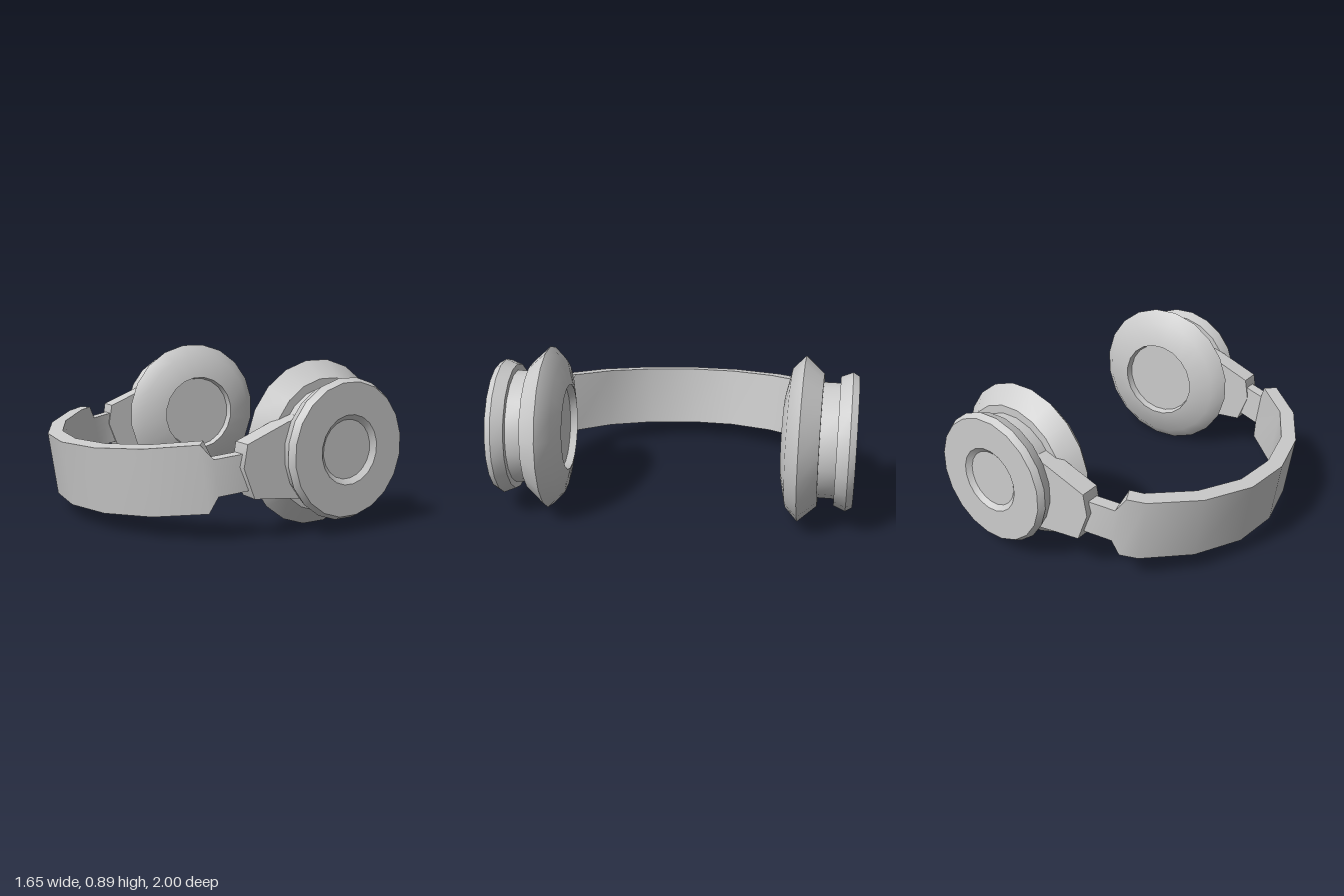
import * as THREE from 'three';
import { toCreasedNormals } from 'three/addons/utils/BufferGeometryUtils.js';

const material = new THREE.MeshStandardMaterial({ color: 0xcccccc });
const CREASE = 0.65;

function part(name, geometry) {
  const mesh = new THREE.Mesh(toCreasedNormals(geometry, CREASE), material);
  mesh.name = name;
  return mesh;
}

// 20-sided turned part along +z, from [radius, z] pairs (inner to outer end)
function turned(name, profile) {
  const points = profile.map(([r, z]) => new THREE.Vector2(r * 1.012, z));
  const geometry = new THREE.LatheGeometry(points, 20, Math.PI / 20);
  return part(name, geometry.rotateX(Math.PI / 2));
}

// Strip swept along stations [u, z, half height, thickness] of its outer face
function bandGeometry(stations) {
  const positions = [];
  const index = [];
  const last = stations.length - 1;
  stations.forEach(([u, z, h, t], i) => {
    const a = stations[Math.max(i - 1, 0)];
    const b = stations[Math.min(i + 1, last)];
    const length = Math.hypot(b[0] - a[0], b[1] - a[1]);
    const iu = u + (b[1] - a[1]) / length * t;
    const iz = z - (b[0] - a[0]) / length * t;
    positions.push(u, h, z, u, -h, z, iu, -h, iz, iu, h, iz);
    if (i === last) return;
    for (let k = 0; k < 4; k++) {
      const p = i * 4 + k;
      const q = i * 4 + (k + 1) % 4;
      index.push(p, q, p + 4, q, q + 4, p + 4);
    }
  });
  const e = last * 4;
  index.push(0, 2, 1, 0, 3, 2, e, e + 1, e + 2, e, e + 2, e + 3);
  const geometry = new THREE.BufferGeometry();
  geometry.setAttribute('position', new THREE.Float32BufferAttribute(positions, 3));
  geometry.setIndex(index);
  geometry.computeVertexNormals();
  return geometry;
}

export function createModel() {
  const model = new THREE.Group();
  model.name = 'headphones';

  // Headband: wide arc with narrow sliding ends, tipped about the cup axis
  const W = 0.18, N = 0.097, T = 0.085, S = 0.07;
  const headband = part('headband', bandGeometry([
    [-0.43, -0.87, N, S], [-0.565, -0.868, N, S], [-0.705, -0.835, N, S],
    [-0.75, -0.815, W, T], [-0.842, -0.77, W, T], [-1.044, -0.54, W, T],
    [-1.171, -0.26, W, T], [-1.196, 0.03, W, T], [-1.13, 0.33, W, T],
    [-0.979, 0.6, W, T], [-0.756, 0.8, W, T],
    [-0.705, 0.828, N, S], [-0.565, 0.865, N, S], [-0.43, 0.87, N, S],
  ]));
  headband.position.set(0.385, 0.445, 0);
  headband.rotation.z = 0.15;
  model.add(headband);

  // Bracket outline joining the band to a cup
  const bracketShape = new THREE.Shape([
    [-0.175, 0.51], [-0.195, 0.39], [-0.13, 0.228], [0.0, 0.217],
    [0.17, 0.2], [0.17, 0.64], [0.06, 0.605],
  ].map(([x, y]) => new THREE.Vector2(x, y)));

  for (const side of [1, -1]) {
    const label = side > 0 ? 'front' : 'back';

    const bracket = part(label + 'Bracket',
      new THREE.ExtrudeGeometry(bracketShape, { depth: 0.115, bevelEnabled: false }));
    bracket.position.z = side > 0 ? 0.785 : -0.9;
    model.add(bracket);

    // Ear cup: dished cushion, neck and outer cap with a recessed disc
    const cup = new THREE.Group();
    cup.name = label + 'EarCup';
    cup.add(
      turned('cushion', [[0, -0.06], [0.225, -0.06], [0.235, -0.1], [0.375, -0.068],
        [0.445, 0], [0.355, 0.1], [0, 0.1]]),
      turned('neck', [[0, 0.08], [0.31, 0.08], [0.31, 0.2], [0, 0.2]]),
      turned('cap', [[0, 0.187], [0.345, 0.187], [0.37, 0.25], [0.35, 0.285],
        [0.182, 0.285], [0.155, 0.262], [0, 0.262]]),
    );
    cup.position.set(0.38, 0.447, side * 0.695);
    cup.rotation.y = side > 0 ? 0.055 : Math.PI - 0.055;
    model.add(cup);
  }
  return model;
}
